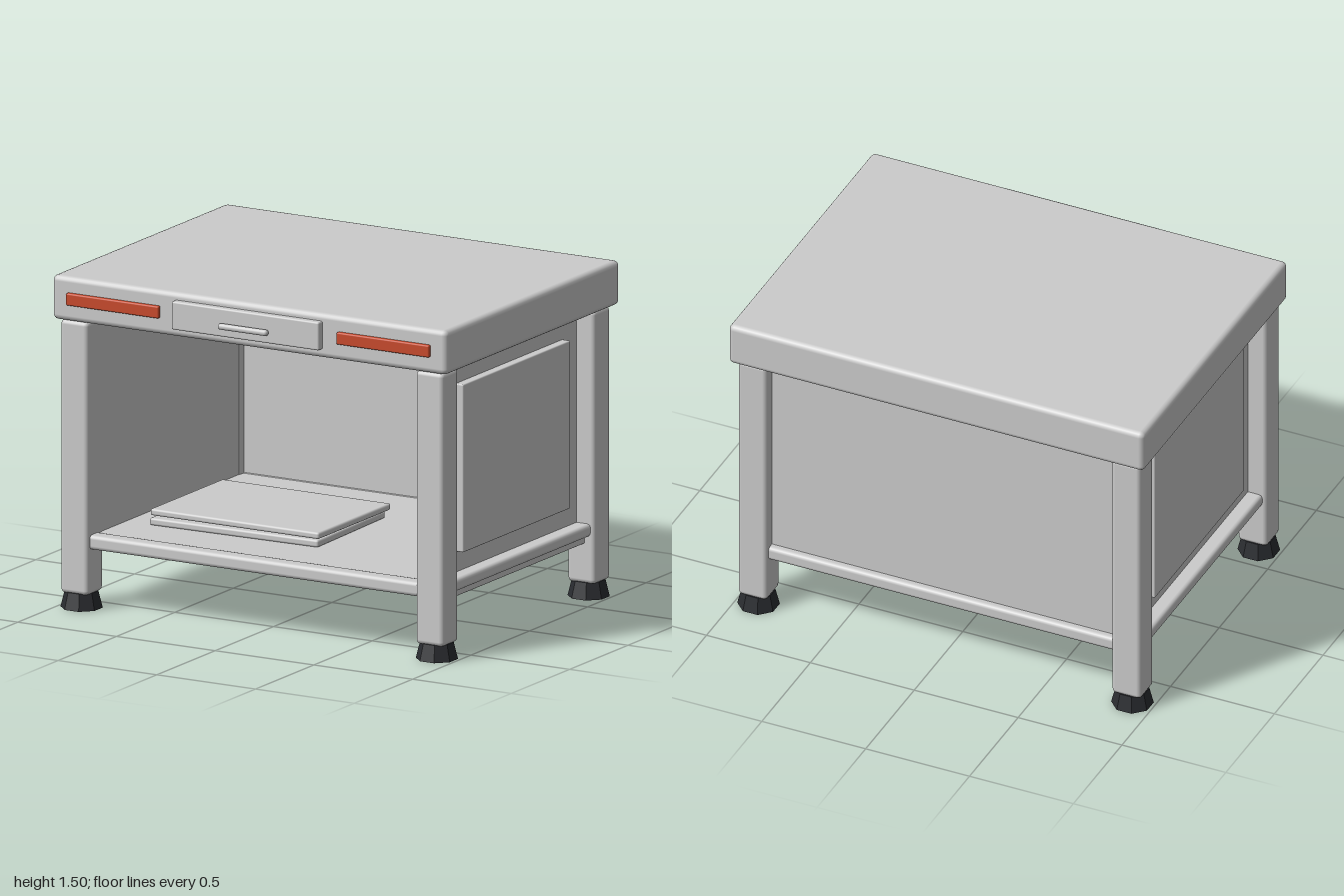
import * as THREE from 'three';
import { RoundedBoxGeometry } from 'three/addons/geometries/RoundedBoxGeometry.js';

const grey = new THREE.MeshStandardMaterial({ color: 0xcccccc });
const red = new THREE.MeshStandardMaterial({ color: 0xc84a2c });
const rubber = new THREE.MeshStandardMaterial({ color: 0x2a2c30, flatShading: true });

export function createModel() {
  const root = new THREE.Group();
  root.name = 'workbench';

  // Rounded block given by its limits along each axis
  function block(name, [x0, x1], [y0, y1], [z0, z1], radius = 0, material = grey) {
    const size = [x1 - x0, y1 - y0, z1 - z0];
    const geometry = radius
      ? new RoundedBoxGeometry(...size, 2, radius)
      : new THREE.BoxGeometry(...size);
    const mesh = new THREE.Mesh(geometry, material);
    mesh.name = name;
    mesh.position.set((x0 + x1) / 2, (y0 + y1) / 2, (z0 + z1) / 2);
    root.add(mesh);
    return mesh;
  }
  // Limits mirrored to the chosen side of x
  const mirror = (s, a, b) => (s > 0 ? [a, b] : [-b, -a]);

  // Table top
  block('tableTop', [-1, 1], [1.3, 1.5], [-0.78, 0.71], 0.025);

  // Legs with tapered octagonal feet
  const footGeometry = new THREE.CylinderGeometry(0.074, 0.093, 0.075, 8);
  footGeometry.rotateY(Math.PI / 8);
  for (const s of [-1, 1]) {
    for (const z of [0.622, -0.678]) {
      block('leg', mirror(s, 0.83, 0.97), [0.07, 1.3], [z - 0.069, z + 0.069], 0.02);
      const foot = new THREE.Mesh(footGeometry, rubber);
      foot.name = 'foot';
      foot.position.set(s * 0.9, 0.0375, z);
      root.add(foot);
    }

    // Side walls with raised plates and lower rails
    block('sidePanel', mirror(s, 0.835, 0.88), [0.3, 1.29], [-0.65, 0.6]);
    block('sidePlate', mirror(s, 0.87, 0.92), [0.435, 1.19], [-0.49, 0.43], 0.006);
    block('sideRail', mirror(s, 0.84, 0.95), [0.285, 0.342], [-0.625, 0.567], 0.018);
    block('sideLowerRail', mirror(s, 0.85, 0.92), [0.25, 0.29], [-0.62, 0.56], 0.008);

    // Coloured front strips
    block('frontStrip', mirror(s, 0.45, 0.92), [1.375, 1.43], [0.69, 0.727], 0.007, red);
  }

  // Back wall, shelf and its rails
  block('backPanel', [-0.84, 0.84], [0.3, 1.29], [-0.69, -0.65]);
  block('shelf', [-0.87, 0.87], [0.28, 0.335], [-0.68, 0.64]);
  block('frontRail', [-0.85, 0.85], [0.275, 0.34], [0.59, 0.67], 0.018);
  block('backRail', [-0.85, 0.85], [0.275, 0.34], [-0.725, -0.64], 0.018);

  // Drawer front and pull
  block('drawerFront', [-0.375, 0.372], [1.34, 1.467], [0.69, 0.743], 0.008);
  block('drawerPull', [-0.125, 0.125], [1.378, 1.405], [0.745, 0.775], 0.0125);
  for (const x of [-0.085, 0.085]) {
    block('pullStem', [x - 0.02, x + 0.02], [1.384, 1.4], [0.73, 0.76]);
  }

  // Two thin boards lying on the shelf
  const lower = block('lowerBoard', [-0.72, 0.12], [0.335, 0.368], [-0.26, 0.35], 0.01);
  lower.rotation.y = 0.03;
  block('upperBoard', [-0.715, 0.14], [0.376, 0.406], [-0.27, 0.35], 0.01);

  return root;
}
